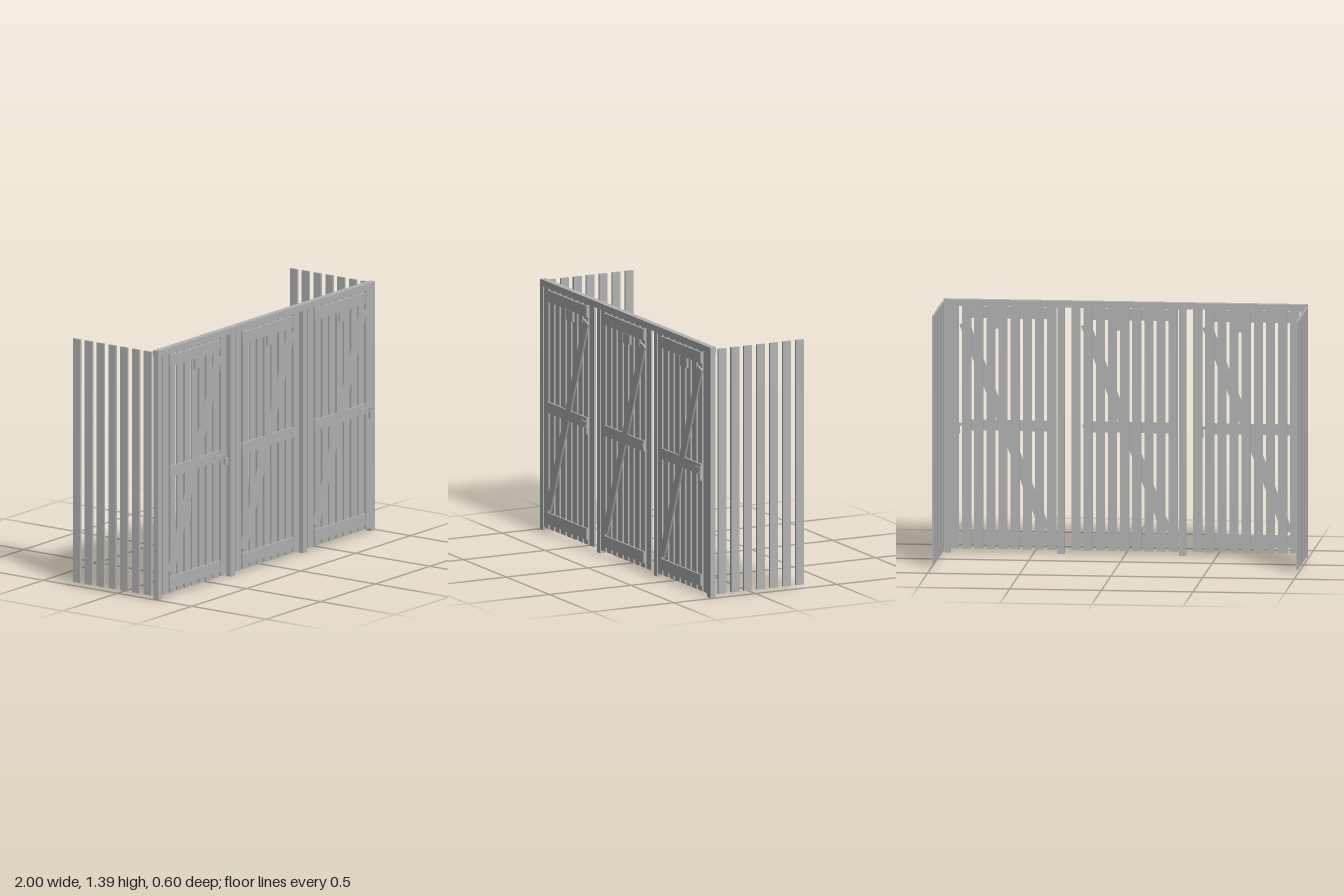
import * as THREE from 'three';

export function createModel() {
  const group = new THREE.Group();
  const grey = new THREE.MeshStandardMaterial({ color: 0xb3b3b3 });
  grey.name = 'plain grey';

  // Box given by its extents along each axis
  const box = (parent, name, x0, x1, y0, y1, z0, z1) => {
    const mesh = new THREE.Mesh(new THREE.BoxGeometry(x1 - x0, y1 - y0, z1 - z0), grey);
    mesh.position.set((x0 + x1) / 2, (y0 + y1) / 2, (z0 + z1) / 2);
    mesh.name = name;
    parent.add(mesh);
    return mesh;
  };

  // Frame: top beam and four posts
  box(group, 'topBeam', -0.996, 0.99, 1.355, 1.39, 0.236, 0.27);
  for (const x of [-0.977, -0.313, 0.35, 0.971]) {
    box(group, 'post', x - 0.019, x + 0.019, 0, 1.355, 0.238, 0.27);
  }

  // Side walls: seven spaced slats each
  for (const x of [-0.994, 0.991]) {
    for (let i = 0; i < 7; i++) {
      const z = 0.201 - i * 0.0795;
      box(group, 'sideSlat', x - 0.006, x + 0.006, 0.02, 1.38, z - 0.0245, z + 0.0245);
    }
  }

  // Three doors, each with slats, rails, brace and latch
  [-0.665, -0.002, 0.661].forEach((cx, n) => {
    const door = new THREE.Group();
    door.name = 'door';
    door.position.x = cx;
    group.add(door);

    for (let i = 0; i < 9; i++) {
      const x = 0.006 + (i - 4) * 0.0662;
      box(door, 'doorSlat', x - 0.0245, x + 0.0245, 0.02, 1.36, 0.257, 0.269);
    }
    for (const [y0, y1] of [[0.048, 0.112], [0.667, 0.726], [1.284, 1.347]]) {
      box(door, 'rail', -0.232, 0.23, y0, y1, 0.269, 0.279);
    }

    // Diagonal brace
    const brace = box(door, 'brace', -0.027, 0.027, 0.091, 1.299, 0.269, 0.2795);
    brace.rotation.z = -Math.atan2(0.44, 1.125);

    // Plate below the top rail
    box(door, 'numberPlate', -0.005, 0.072, 1.228, 1.284, 0.269, 0.281);

    if (n === 1) {
      box(door, 'latchStaple', 0.21, 0.238, 0.69, 0.706, 0.279, 0.286);
      return;
    }
    // Hasp, staple and hanging padlock
    box(door, 'haspBar', 0.172, 0.25, 0.69, 0.706, 0.279, 0.286);
    box(door, 'haspStaple', 0.246, 0.256, 0.688, 0.7, 0.284, 0.297);
    box(door, 'padlockBody', 0.244, 0.271, 0.644, 0.683, 0.289, 0.302);
    const shackle = new THREE.Mesh(new THREE.TorusGeometry(0.0095, 0.0025, 6, 12, Math.PI), grey);
    shackle.position.set(0.2575, 0.683, 0.295);
    shackle.scale.y = 1.7;
    shackle.name = 'padlockShackle';
    door.add(shackle);
  });

  return group;
}
